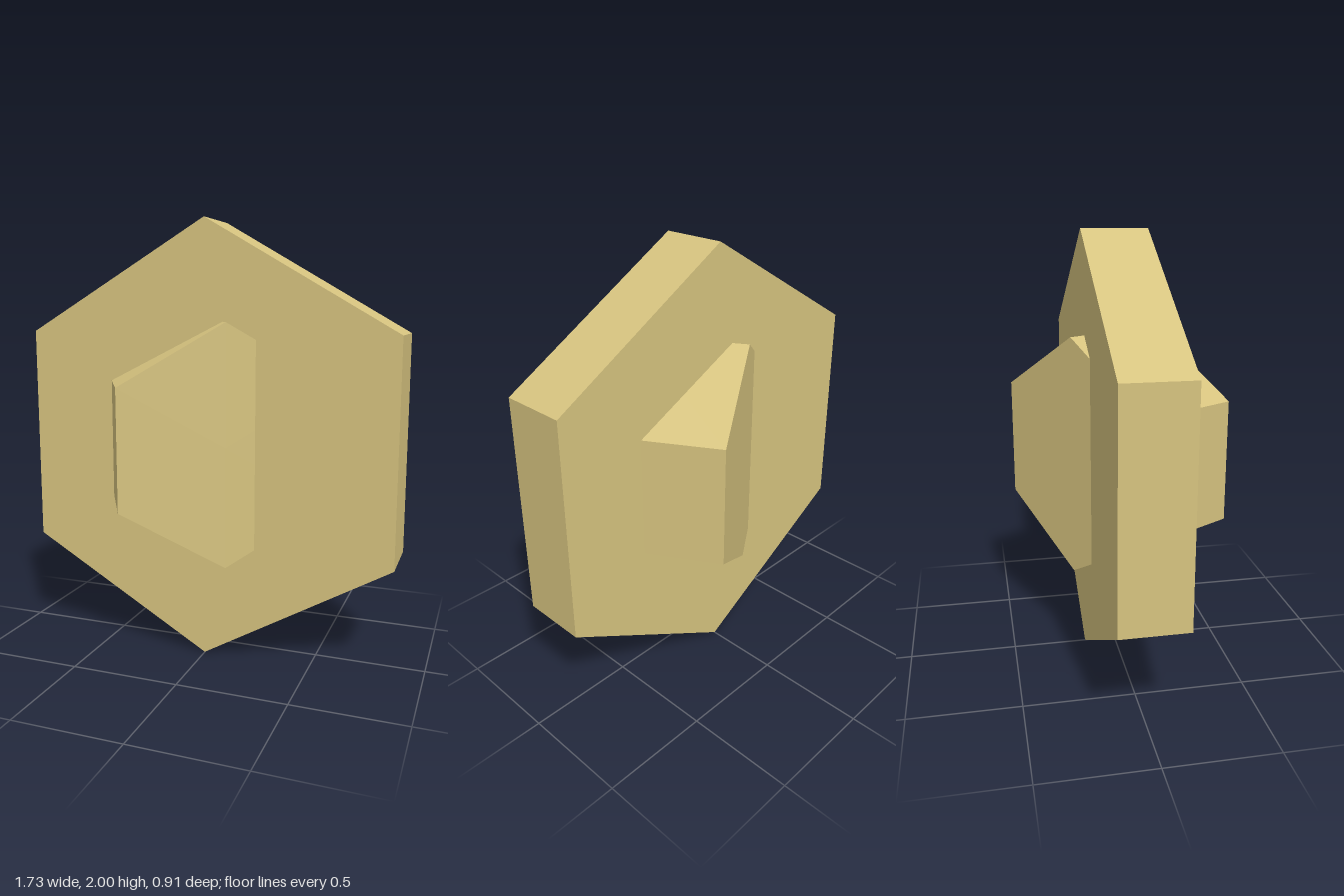
import * as THREE from 'three';

export function createModel() {
  const model = new THREE.Group();
  const sand = new THREE.MeshStandardMaterial({ color: 0xd6c37f, flatShading: true });
  sand.name = 'sand';

  // Hexagonal prism lying along z, with a corner pointing up
  const hexPrism = (name, radius, depth) => {
    const geometry = new THREE.CylinderGeometry(radius, radius, depth, 6).rotateX(Math.PI / 2);
    const mesh = new THREE.Mesh(geometry, sand);
    mesh.name = name;
    mesh.position.y = 1;
    model.add(mesh);
    return mesh;
  };

  // Large upright plate
  hexPrism('outerPlate', 1, 0.3);

  // Smaller, thicker core turned 30 degrees so it pokes out of both faces
  hexPrism('turnedCore', 0.55, 0.5).rotation.y = Math.PI / 6;

  return model;
}
